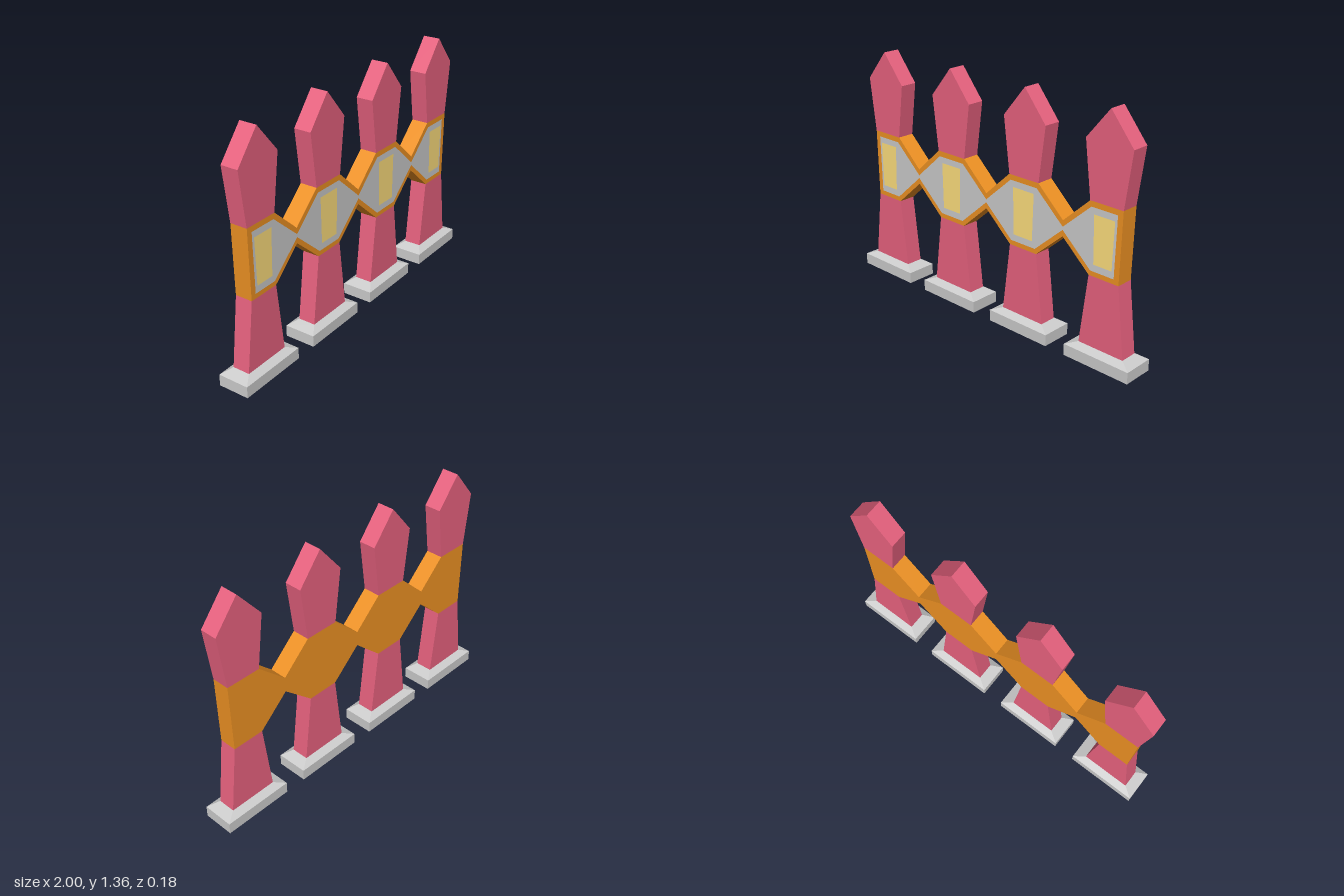
import * as THREE from 'three';

const CENTERS = [-0.797, -0.266, 0.266, 0.797];
const NECKS = [-0.532, 0, 0.532];
const DEPTH = 0.1;

const material = (color, extra = {}) =>
  new THREE.MeshStandardMaterial({ color, flatShading: true, ...extra });

const toShape = (points) => new THREE.Shape(points.map(([x, y]) => new THREE.Vector2(x, y)));

// Upright slab cut from an outline, centred on z = 0
function slab(points) {
  const geometry = new THREE.ExtrudeGeometry(toShape(points), { depth: DEPTH, bevelEnabled: false });
  return geometry.translate(0, 0, -DEPTH / 2);
}

// Closed outline of a banner running over all pickets and pinched at the necks
function bannerOutline({ top, bottom, topHalf, bottomHalf, neckTop, neckBottom, endInset }) {
  const edge = (y, half, neckY) => {
    const points = [];
    CENTERS.forEach((c, i) => {
      points.push([c - half + (i === 0 ? endInset : 0), y]);
      points.push([c + half - (i === 3 ? endInset : 0), y]);
      if (i < 3) points.push([NECKS[i], neckY]);
    });
    return points;
  };
  return [...edge(bottom, bottomHalf, neckBottom), ...edge(top, topHalf, neckTop).reverse()];
}

// Footing: box whose upper ring tapers to the picket
function footingGeometry() {
  const geometry = new THREE.BoxGeometry(0.406, 0.09, 0.18, 1, 2, 1).translate(0, 0.045, 0);
  const p = geometry.attributes.position;
  for (let i = 0; i < p.count; i++) {
    const y = p.getY(i);
    if (y > 0.08) p.setXYZ(i, Math.sign(p.getX(i)) * 0.14, 0.09, Math.sign(p.getZ(i)) * 0.05);
    else if (y > 0.01) p.setY(i, 0.065);
  }
  geometry.computeVertexNormals();
  return geometry;
}

export function createModel() {
  const group = new THREE.Group();
  const grey = material(0xcccccc);
  const pink = material(0xe8627f);
  const orange = material(0xed9123);
  const panelGrey = material(0xcccccc, { side: THREE.DoubleSide });
  const yellow = material(0xffdf7d, { side: THREE.DoubleSide });

  const add = (name, geometry, mat, x = 0, z = 0) => {
    const mesh = new THREE.Mesh(geometry, mat);
    mesh.name = name;
    mesh.position.set(x, 0, z);
    group.add(mesh);
  };

  // Footings and pickets
  const footing = footingGeometry();
  const lower = slab([[-0.14, 0.09], [0.14, 0.09], [0.092, 0.485], [-0.092, 0.485]]);
  const upper = slab([[-0.1, 0.88], [0.1, 0.88], [0.14, 1.19], [0, 1.36], [-0.14, 1.19]]);
  CENTERS.forEach((x) => {
    add('footing', footing, grey, x);
    add('lowerPicket', lower, pink, x);
    add('upperPicket', upper, pink, x);
  });

  // Banner across the pickets
  add('banner', slab(bannerOutline({
    top: 0.88, bottom: 0.485, topHalf: 0.1, bottomHalf: 0.092,
    neckTop: 0.727, neckBottom: 0.64, endInset: 0,
  })), orange);

  // Grey inlay on the front of the banner
  add('inlay', new THREE.ShapeGeometry(toShape(bannerOutline({
    top: 0.85, bottom: 0.512, topHalf: 0.09, bottomHalf: 0.083,
    neckTop: 0.692, neckBottom: 0.675, endInset: 0.021,
  }))), panelGrey, 0, DEPTH / 2 + 0.001);

  // Yellow windows; the outer pair is narrower on its outer side
  CENTERS.forEach((x, i) => {
    const left = i === 0 ? 0.016 : 0;
    const right = i === 3 ? 0.016 : 0;
    const window = toShape([
      [-0.064 + left, 0.55], [0.064 - right, 0.55],
      [0.071 - right, 0.815], [-0.071 + left, 0.815],
    ]);
    add('window', new THREE.ShapeGeometry(window), yellow, x, DEPTH / 2 + 0.002);
  });

  return group;
}
